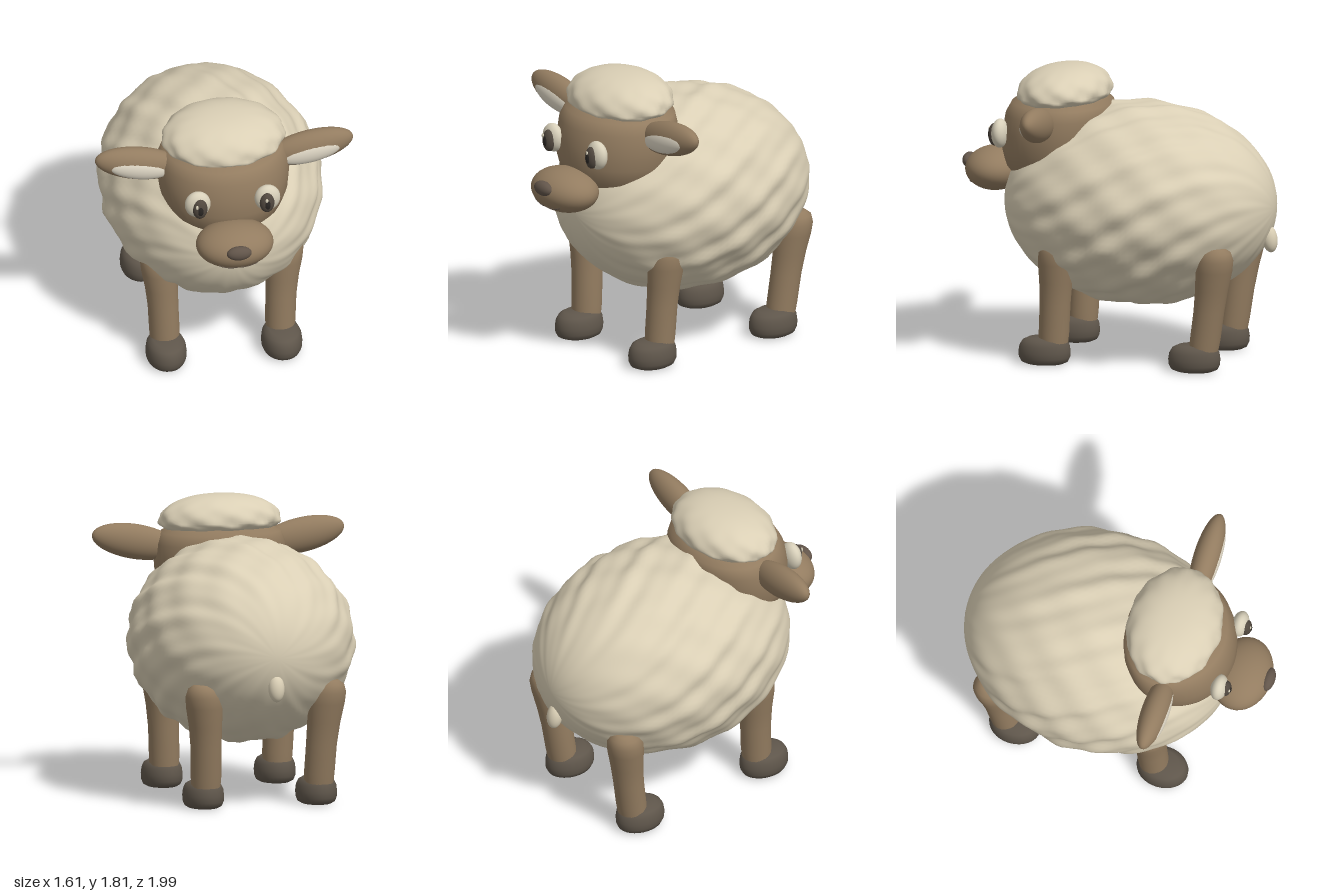
import * as THREE from 'three';
import { mergeVertices } from 'three/addons/utils/BufferGeometryUtils.js';

const mat = (name, color) => {
  const m = new THREE.MeshStandardMaterial({ color });
  m.name = name;
  return m;
};

// Move every vertex by a rule, then weld seams and smooth
function reshape(geo, rule) {
  const p = geo.attributes.position, v = new THREE.Vector3();
  for (let i = 0; i < p.count; i++) {
    v.fromBufferAttribute(p, i);
    rule(v);
    p.setXYZ(i, v.x, v.y, v.z);
  }
  geo.deleteAttribute('uv');
  geo.deleteAttribute('normal');
  const welded = mergeVertices(geo, 1e-4);
  welded.computeVertexNormals();
  return welded;
}

const lathe = (points, segments = 40) =>
  new THREE.LatheGeometry(points.map(([r, y]) => new THREE.Vector2(r, y)), segments);

export function createModel() {
  const model = new THREE.Group();
  model.name = 'sheep';

  const wool = mat('wool cream', 0xdacfb5);
  const skin = mat('skin brown', 0x937c60);
  const hoof = mat('hoof dark brown', 0x5f564b);
  const nose = mat('nose brown', 0x62554a);
  const innerEar = mat('inner ear cream', 0xe0d8c6);
  const eyeWhite = mat('eye white', 0xd8d0ba);
  const iris = mat('iris brown', 0x51483f);
  const black = mat('pupil black', 0x2b2724);

  function add(name, geo, material, pos = [0, 0, 0], parent = model) {
    const m = new THREE.Mesh(geo, material);
    m.name = name;
    m.position.set(...pos);
    parent.add(m);
    return m;
  }
  function ellipsoid(name, material, pos, radii, parent) {
    const geo = new THREE.SphereGeometry(1, 36, 24).scale(...radii);
    return add(name, geo, material, pos, parent);
  }

  // Woolly body: ellipsoid along z with crossing diagonal ridges
  const bodyGeo = new THREE.SphereGeometry(1, 110, 70).rotateX(-Math.PI / 2);
  add('body', reshape(bodyGeo, (v) => {
    const a = Math.atan2(v.y, v.x), z = v.z;
    const fade = 1 - z * z;
    const bump = Math.sin(15 * a + 9 * z) + 0.7 * Math.sin(11 * a - 14 * z)
      + 0.55 * Math.sin(24 * a + 19 * z + 1);
    const k = 1 + 0.015 * bump * fade;
    v.set(v.x * 0.68 * k, v.y * 0.62 * k, z * 0.847 * (1 + 0.006 * bump * fade));
  }), wool, [0, 0.97, -0.133]);

  // Tail
  ellipsoid('tail', wool, [0, 0.78, -0.95], [0.05, 0.085, 0.048]).rotation.x = 0.15;

  // Head: rounded block, leaning forward at the chin, shallower at the back
  const headGeo = lathe([[0, 1.02], [0.15, 1.04], [0.27, 1.1], [0.355, 1.19], [0.395, 1.29],
    [0.408, 1.4], [0.405, 1.51], [0.375, 1.58], [0.28, 1.63], [0, 1.65]], 48);
  add('head', reshape(headGeo, (v) => {
    v.z *= v.z > 0 ? 0.93 : 0.72;
    v.z += 0.35 + (1.4 - v.y) * 0.15;
  }), skin);

  // Wool cap: flattened beneath, lightly ridged
  add('woolCap', reshape(new THREE.SphereGeometry(1, 64, 32), (v) => {
    const a = Math.atan2(v.z, v.x);
    const k = 1 + 0.015 * (1 - v.y * v.y) * (Math.sin(13 * a + 7 * v.y) + Math.sin(9 * a - 8 * v.y));
    const w = Math.pow(Math.max(0, 1 - v.y * v.y), -0.07);
    const r = Math.min(w, 1.25) * k;
    v.set(v.x * 0.38 * r, v.y * (v.y > 0 ? 0.17 : 0.09), v.z * 0.287 * r);
    v.y += -0.06 * v.z;
  }), wool, [0, 1.64, 0.35]);

  // Muzzle and nose
  ellipsoid('muzzle', skin, [0, 1.14, 0.785], [0.24, 0.136, 0.187]);
  ellipsoid('nose', nose, [0, 1.18, 0.955], [0.077, 0.046, 0.04]);

  for (const s of [1, -1]) {
    const side = s > 0 ? 'left' : 'right';

    // Mouth curve lying on the muzzle
    const mouth = [[0.01, 1.066], [0.035, 1.056], [0.07, 1.056], [0.1, 1.066], [0.12, 1.074]].map(([x, y]) => {
      const d = Math.sqrt(1 - (x / 0.24) ** 2 - ((y - 1.14) / 0.136) ** 2);
      return new THREE.Vector3(s * x, y, 0.785 + 0.187 * d);
    });
    add(side + 'Mouth', new THREE.TubeGeometry(new THREE.CatmullRomCurve3(mouth), 16, 0.004, 6), nose);

    // Eye with iris, pupil and highlight
    const eye = new THREE.Group();
    eye.name = side + 'Eye';
    eye.position.set(s * 0.217, 1.4, 0.705);
    model.add(eye);
    ellipsoid('eyeball', eyeWhite, [0, 0, 0], [0.08, 0.09, 0.052], eye);
    ellipsoid('iris', iris, [-s * 0.008, -0.01, 0.038], [0.046, 0.07, 0.036], eye);
    ellipsoid('pupil', black, [-s * 0.008, -0.01, 0.057], [0.024, 0.042, 0.02], eye);
    ellipsoid('highlight', eyeWhite, [-0.014, 0.022, 0.069], [0.009, 0.015, 0.006], eye);

    // Ear with pale inside
    const ear = new THREE.Group();
    ear.name = side + 'Ear';
    ear.position.set(s * 0.53, 1.525, 0.39);
    ear.rotation.z = s * 0.19;
    model.add(ear);
    ellipsoid('earShell', skin, [0, 0, 0], [0.278, 0.108, 0.083], ear);
    ellipsoid('earInside', innerEar, [0, -0.012, 0.045], [0.195, 0.073, 0.043], ear);

    // Legs lean outwards and back towards the top; hooves are lower at the toe
    for (const [end, z, lean] of [['Front', 0.33, -0.03], ['Back', -0.62, -0.085]]) {
      const legGeo = lathe([[0.088, 0.1], [0.094, 0.2], [0.095, 0.38], [0.102, 0.52], [0.113, 0.64],
        [0.112, 0.71], [0.092, 0.76], [0.055, 0.785], [0, 0.79]], 28);
      add(side + end + 'Leg', reshape(legGeo, (v) => {
        const t = (v.y - 0.1) / 0.6;
        v.x += s * 0.035 * t * t;
        v.z += lean * t;
      }), skin, [s * 0.36, 0, z]);

      const hoofGeo = lathe([[0, 0.005], [0.09, 0.005], [0.113, 0.018], [0.124, 0.045], [0.126, 0.08],
        [0.121, 0.12], [0.107, 0.15], [0.08, 0.167], [0, 0.172]], 32);
      add(side + end + 'Hoof', reshape(hoofGeo, (v) => {
        v.z *= 1.29;
        if (v.z > 0) v.y *= 1 - 1.1 * v.z * v.z * 4 * 0.25;
        else v.y *= 1 - 0.3 * v.z;
      }), hoof, [s * 0.36, 0, z + 0.055]);
    }
  }
  return model;
}
